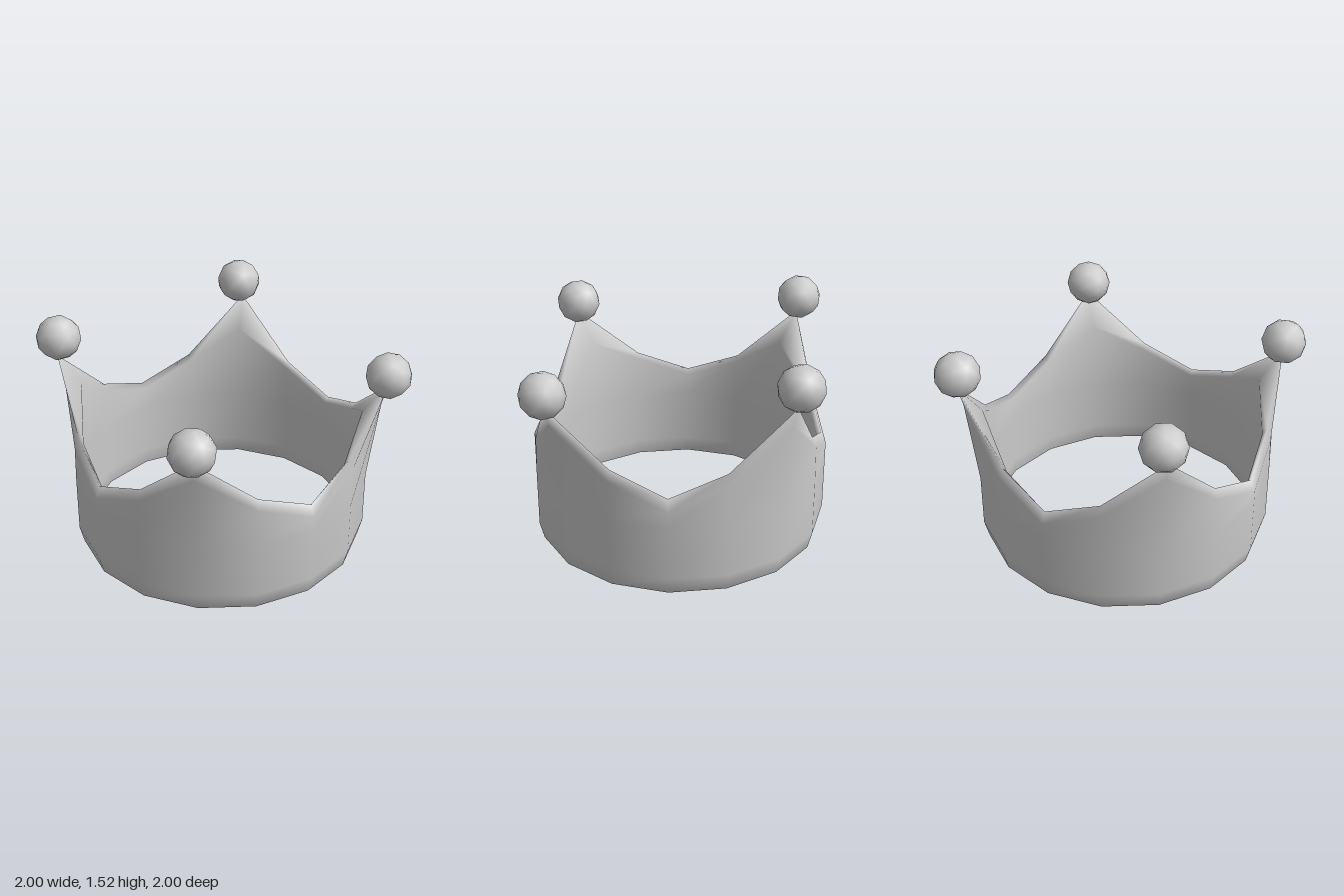
import * as THREE from 'three';

const SIDES = 16;
const material = new THREE.MeshStandardMaterial({ color: 0xcccccc });

// Cross-section of the wall [radius, height] at side k: up the outside, over the rim, down the inside
function wallSection(k) {
  const step = k % 4; // 0 valley, 1 and 3 slope, 2 peak
  const back = k > 4 && k < 12;
  const foot = [[0.945, 0.01], [0.97, 0], [1, 0.12], [1, 0.5]];
  const inside = [[0.94, 0.5], [0.94, 0.12]];
  let rim;
  if (step === 0) rim = [[1, 0.61], [0.965, 0.69], [0.94, 0.65]];
  else if (step === 2) {
    const tip = back ? 1.25 : 1.2;
    rim = [[1.07, tip - 0.14], [1.105, tip], [0.95, tip - 0.2]];
  } else rim = [[0.995, 0.77], [0.965, 0.84], [0.935, 0.8]];
  return [...foot, ...rim, ...inside];
}

// Closed band made by joining the cross-sections in a ring
function bandGeometry() {
  const positions = [];
  const index = [];
  const rows = wallSection(0).length;
  for (let k = 0; k < SIDES; k++) {
    const angle = (k / SIDES) * Math.PI * 2;
    for (const [r, y] of wallSection(k)) {
      positions.push(r * Math.sin(angle), y, r * Math.cos(angle));
    }
    for (let j = 0; j < rows; j++) {
      const next = ((k + 1) % SIDES) * rows;
      const up = (j + 1) % rows;
      const a = k * rows + j;
      const b = next + j;
      const c = next + up;
      const d = k * rows + up;
      index.push(a, b, c, a, c, d);
    }
  }
  const geometry = new THREE.BufferGeometry();
  geometry.setAttribute('position', new THREE.Float32BufferAttribute(positions, 3));
  geometry.setIndex(index);
  geometry.computeVertexNormals();
  return geometry;
}

export function createModel() {
  const crown = new THREE.Group();
  crown.name = 'crown';

  const band = new THREE.Mesh(bandGeometry(), material);
  band.name = 'band';
  crown.add(band);

  // Balls on the four peaks, the back pair a little higher
  const ballGeometry = new THREE.IcosahedronGeometry(0.152, 1);
  const balls = [
    ['frontLeftBall', 0.778, 1.28, 0.785],
    ['frontRightBall', -0.784, 1.28, 0.78],
    ['backLeftBall', 0.755, 1.37, -0.795],
    ['backRightBall', -0.755, 1.37, -0.795],
  ];
  balls.forEach(([name, x, y, z], i) => {
    const ball = new THREE.Mesh(ballGeometry, material);
    ball.name = name;
    ball.position.set(x, y, z);
    ball.rotation.set(0.2 * i, 0.5 * i, 0);
    crown.add(ball);
  });
  return crown;
}
